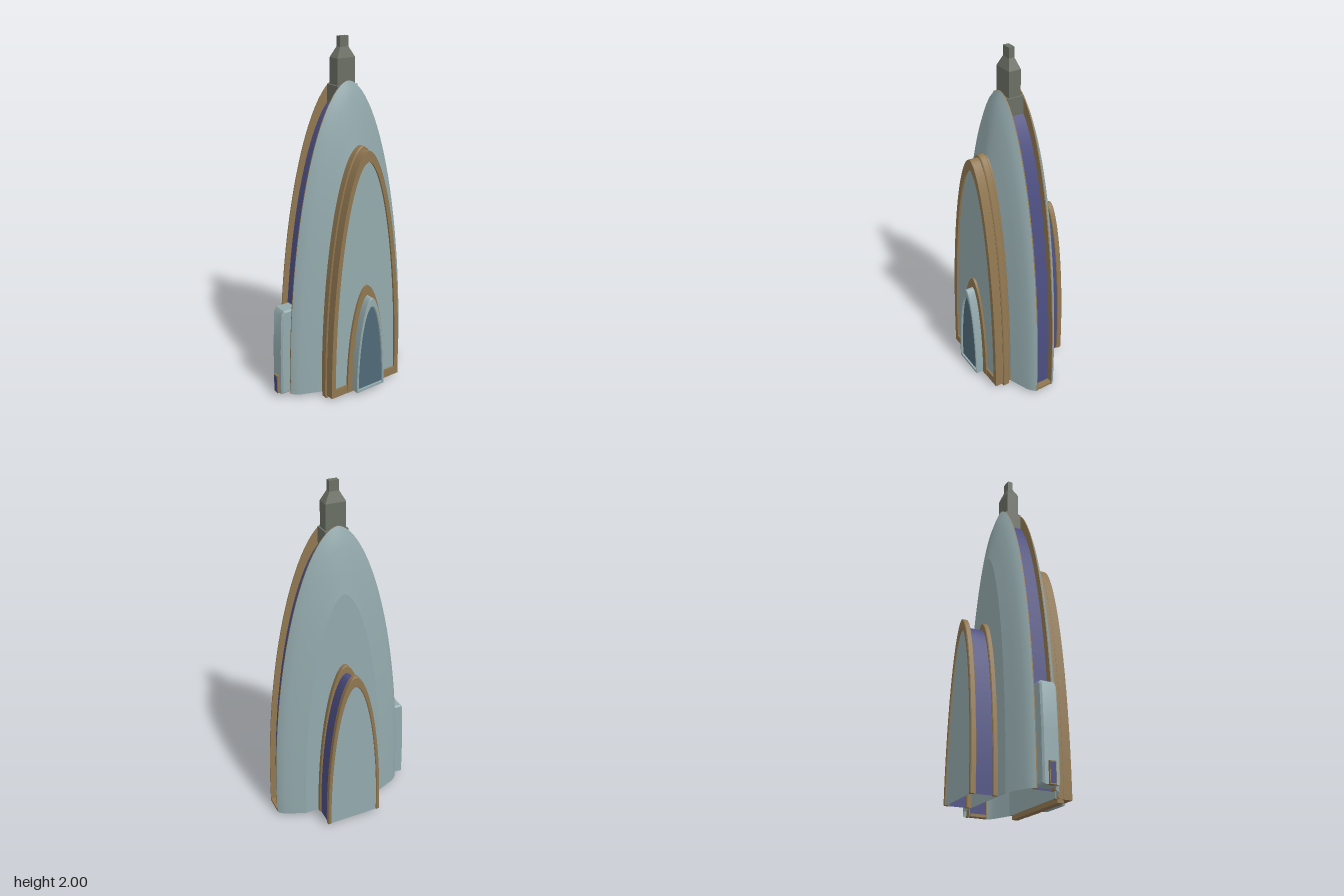
import * as THREE from 'three';
import { toCreasedNormals } from 'three/addons/utils/BufferGeometryUtils.js';

const ZC = -0.035; // shared centre plane of all arches
const BASE = 0.02;
const mat = (color) => new THREE.MeshStandardMaterial({ color, side: THREE.DoubleSide });

// Pointed elliptical arch from +w over the apex to -w
function archPoints(w, h, y0 = BASE, n = 56) {
  const pts = [];
  for (let i = 0; i <= n; i++) {
    const a = (Math.PI * i) / n;
    const c = Math.cos(a);
    pts.push(new THREE.Vector2(w * Math.sign(c) * Math.abs(c) ** 1.12, y0 + (h - y0) * Math.sin(a)));
  }
  return pts;
}

// Shell through arches [x, halfWidth, height] with x rising, open underneath
function loft(sections) {
  const pos = [], idx = [];
  const n = archPoints(1, 1).length;
  sections.forEach(([x, w, h]) => archPoints(w, h).forEach((p) => pos.push(x, p.y, p.x + ZC)));
  for (let i = 0; i < sections.length - 1; i++) {
    for (let j = 0; j < n - 1; j++) {
      const a = i * n + j, b = a + n;
      idx.push(a, b, a + 1, b, b + 1, a + 1);
    }
  }
  const g = new THREE.BufferGeometry();
  g.setAttribute('position', new THREE.Float32BufferAttribute(pos, 3));
  g.setIndex(idx);
  g.computeVertexNormals();
  return g;
}

// Extrudes a (z, y) shape from x0 to x1, with an optional bevel inside those limits
function slab(shape, x0, x1, bevel = 0) {
  const g = new THREE.ExtrudeGeometry(shape, {
    depth: x1 - x0 - 2 * bevel, bevelEnabled: bevel > 0, bevelSize: bevel,
    bevelThickness: bevel, bevelOffset: -bevel, bevelSegments: 1,
  });
  g.rotateY(Math.PI / 2);
  g.translate(x0 + bevel, 0, ZC);
  return toCreasedNormals(g, 0.5);
}

const archShape = (w, h, y0) => new THREE.Shape(archPoints(w, h, y0));

// Arch-shaped strip, open at the foot
const stripShape = (w, h, wi, hi, y0) =>
  new THREE.Shape([...archPoints(w, h, y0), ...archPoints(wi, hi, y0).reverse()]);

// Stack of rectangles [y, halfX, halfZ] joined into a solid
function stack(levels) {
  const pos = [], idx = [];
  levels.forEach(([y, x, z]) => pos.push(-x, y, z, x, y, z, x, y, -z, -x, y, -z));
  for (let i = 0; i < levels.length - 1; i++) {
    for (let k = 0; k < 4; k++) {
      const a = i * 4 + k, b = i * 4 + ((k + 1) % 4);
      idx.push(a, b, b + 4, a, b + 4, a + 4);
    }
  }
  const t = (levels.length - 1) * 4;
  idx.push(t, t + 1, t + 2, t, t + 2, t + 3, 0, 2, 1, 0, 3, 2);
  const g = new THREE.BufferGeometry();
  g.setAttribute('position', new THREE.Float32BufferAttribute(pos, 3));
  g.setIndex(idx);
  return toCreasedNormals(g, 0.1);
}

export function createModel() {
  const root = new THREE.Group();
  root.name = 'archedTower';
  const stone = mat(0x93a9ac), gold = mat(0x8f7650), blue = mat(0x4b4d80);
  const glass = mat(0x4f6a78), metal = mat(0x6a6f64);
  const add = (name, geometry, material, parent = root) => {
    const m = new THREE.Mesh(geometry, material);
    m.name = name;
    parent.add(m);
    return m;
  };
  const group = (name) => {
    const g = new THREE.Group();
    g.name = name;
    root.add(g);
    return g;
  };

  // Two bulging half shells, mirrored about the central band
  const body = group('body');
  const bulge = [[0.054, 0.4, 1.775], [0.07, 0.388, 1.735], [0.092, 0.36, 1.67], [0.115, 0.303, 1.55], [0.137, 0.246, 1.43]];
  const mirrored = bulge.map(([x, w, h]) => [-x, w, h]).reverse();
  add('leftShell', loft(bulge), stone, body);
  add('rightShell', loft(mirrored), stone, body);
  for (const [side, s] of [['left', 1], ['right', -1]]) {
    const span = (a, b) => (s > 0 ? [a, b] : [-b, -a]);
    add(side + 'Wall', slab(archShape(0.246, 1.43), ...span(0.134, 0.137)), stone, body);
    add(side + 'BandEdge', slab(stripShape(0.4, 1.775, 0.362, 1.685), ...span(0.048, 0.054)), gold, body);
  }

  // Recessed central band with a sill at the back
  add('centralBand', loft([[-0.05, 0.365, 1.69], [0.05, 0.365, 1.69]]), blue);
  const sill = add('backSill', new THREE.BoxGeometry(0.1, 0.015, 0.045), gold);
  sill.position.set(0, 0.03, -0.412);

  // Short vault on the right side
  const vault = group('rightVault');
  add('vaultBarrel', loft([[-0.258, 0.16, 0.965], [-0.163, 0.16, 0.965]]), blue, vault);
  for (const [name, a, b] of [['outerRing', -0.287, -0.255], ['innerRing', -0.165, -0.135]]) {
    add(name, slab(stripShape(0.167, 1.01, 0.147, 0.945), a, b, 0.004), gold, vault);
  }
  add('vaultPanel', slab(archShape(0.15, 0.955), -0.28, -0.277), stone, vault);

  // Tall arched portal on the left side
  const portal = group('leftPortal');
  add('portalRing', slab(stripShape(0.25, 1.45, 0.22, 1.375), 0.148, 0.187, 0.005), gold, portal);
  add('portalFrame', slab(stripShape(0.242, 1.435, 0.215, 1.375), 0.135, 0.237), gold, portal);
  add('portalPanel', slab(archShape(0.22, 1.385), 0.222, 0.226), stone, portal);
  const foot = add('portalFoot', new THREE.BoxGeometry(0.035, 0.025, 0.49), gold, portal);
  foot.position.set(0.167, 0.0125, ZC);
  const curb = add('portalCurb', new THREE.BoxGeometry(0.05, 0.05, 0.45), gold, portal);
  curb.position.set(0.212, 0.045, ZC);

  // Doorway standing proud of the portal
  const door = group('doorway');
  add('doorSurround', slab(stripShape(0.132, 0.665, 0.095, 0.59), 0.215, 0.239), gold, door);
  add('doorFrame', slab(stripShape(0.098, 0.605, 0.085, 0.55, 0.03), 0.225, 0.285, 0.004), stone, door);
  add('doorGlass', slab(archShape(0.088, 0.56, 0.03), 0.265, 0.272), glass, door);
  const step = add('doorStep', new THREE.BoxGeometry(0.05, 0.015, 0.19), stone, door);
  step.position.set(0.258, 0.035, ZC);

  // Front porch, leaning back slightly, with a small hatch
  const porch = group('frontPorch');
  const front = [[0.31, 0.03], [0.42, 0.03], [0.416, 0.3], [0.405, 0.525], [0.39, 0.55], [0.31, 0.55]];
  const porchSide = new THREE.Shape(front.map(([z, y]) => new THREE.Vector2(-(z - ZC), y)));
  // extrusion turns +shape x into -z
  const porchGeo = slab(porchSide, -0.047, 0.047, 0.009);
  add('porchBlock', porchGeo, stone, porch);
  const hatch = add('hatch', new THREE.BoxGeometry(0.028, 0.1, 0.03), blue, porch);
  hatch.position.set(0, 0.085, 0.418);
  const hatchFrame = add('hatchFrame', new THREE.BoxGeometry(0.036, 0.112, 0.026), gold, porch);
  hatchFrame.position.set(0, 0.085, 0.418);

  // Spire
  const spire = add('spire', stack([
    [1.64, 0.048, 0.065], [1.75, 0.048, 0.065], [1.751, 0.035, 0.057],
    [1.89, 0.035, 0.057], [1.945, 0.016, 0.027], [2.0, 0.016, 0.027],
  ]), metal);
  spire.position.z = ZC;

  return root;
}
